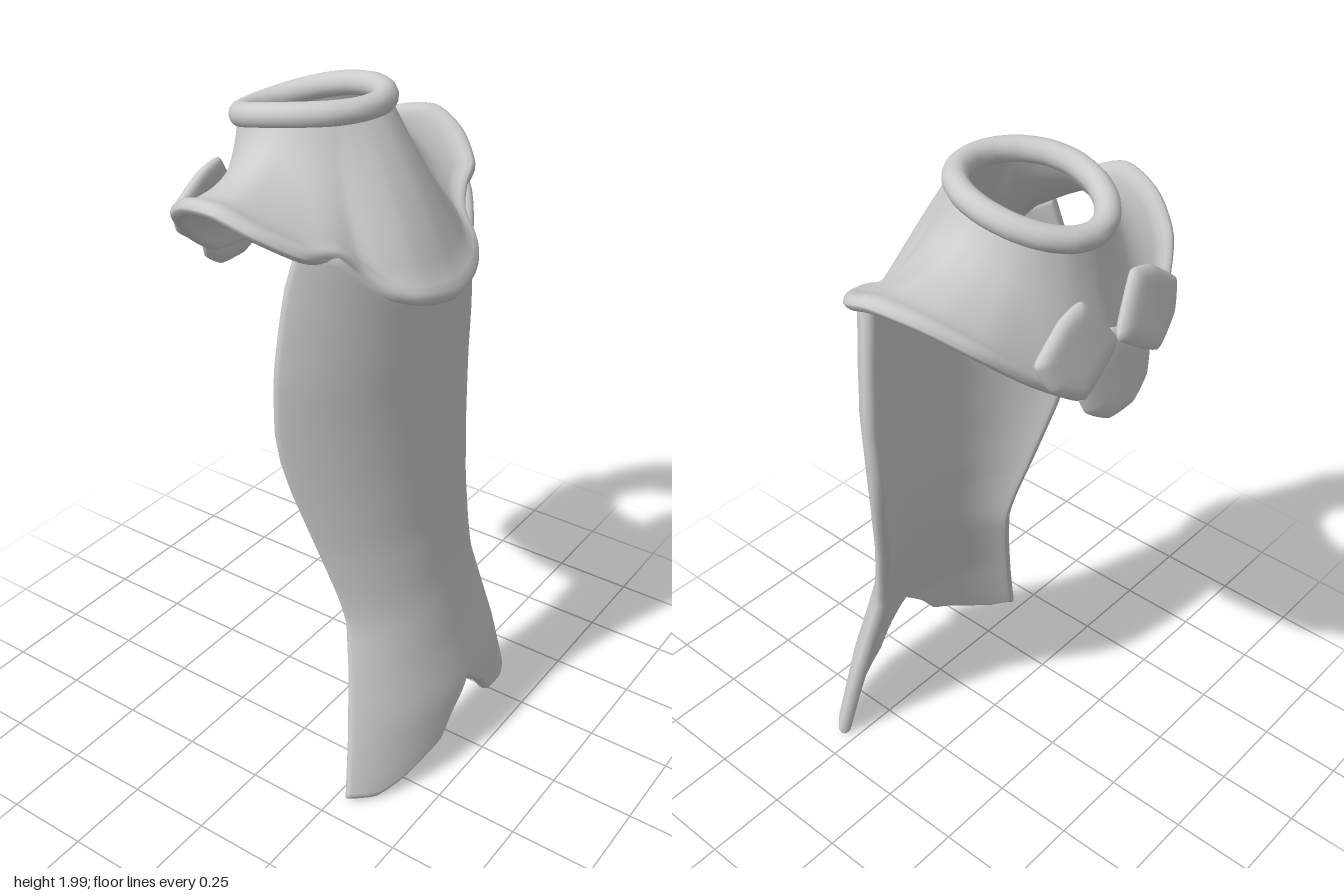
import * as THREE from 'three';
import { mergeVertices } from 'three/addons/utils/BufferGeometryUtils.js';

const V = (x, y, z) => new THREE.Vector3(x, y, z);
const clamp = THREE.MathUtils.clamp;
const lerp = THREE.MathUtils.lerp;

// Piecewise-linear lookup in a list of [key, value], keys ascending
function lookup(table, k) {
  for (let i = 1; i < table.length; i++) {
    const [k0, v0] = table[i - 1], [k1, v1] = table[i];
    if (k <= k1) return lerp(v0, v1, clamp((k - k0) / (k1 - k0), 0, 1));
  }
  return table[table.length - 1][1];
}

// Thick sheet around a surface point(u, v); half(u, v) is half its thickness
function shell(point, us, vs, half, closed) {
  const e = 0.004, pos = [], index = [];
  const wrap = (u) => (closed ? (u + 1) % 1 : clamp(u, 0, 1));
  const normalAt = (u, v) => {
    v = Math.max(v, 0.02);
    const du = point(wrap(u + e), v).sub(point(wrap(u - e), v));
    const dv = point(u, Math.min(v + e, 1)).sub(point(u, v - e));
    return du.cross(dv).normalize();
  };
  for (const side of [1, -1]) {
    const base = pos.length / 3;
    for (const v of vs) for (const t of us) {
      const u = wrap(t);
      pos.push(...point(u, v).addScaledVector(normalAt(u, v), side * half(u, v)).toArray());
    }
    for (let j = 0; j < vs.length - 1; j++) for (let i = 0; i < us.length - 1; i++) {
      const a = base + j * us.length + i, b = a + 1, c = a + us.length, d = c + 1;
      if (side > 0) index.push(a, b, c, b, d, c);
      else index.push(a, c, b, b, c, d);
    }
  }
  let g = new THREE.BufferGeometry();
  g.setAttribute('position', new THREE.Float32BufferAttribute(pos, 3));
  g.setIndex(index);
  g = mergeVertices(g, 1e-5);
  g.computeVertexNormals();
  return g;
}

const steps = (n) => Array.from({ length: n + 1 }, (_, i) => i / n);
// Samples from 0 to 1 that crowd towards both ends, for a rounded rim of width r
function rimSteps(n, r) {
  const end = [0, 0.08 * r, 0.3 * r, 0.6 * r];
  return [...end, ...steps(n).map((t) => lerp(r, 1 - r, t)), ...end.map((t) => 1 - t).reverse()];
}
const round = (t, r) => Math.sqrt(Math.max(0, 1 - (1 - Math.min(t / r, 1)) ** 2));
const roundEnds = (t, r) => round(Math.min(t, 1 - t), r);

// Closed loop from half of its points, front to back, mirrored in x
function mirroredLoop(half) {
  const other = half.slice(1, -1).reverse().map((p) => V(-p.x, p.y, p.z));
  return new THREE.CatmullRomCurve3([...half, ...other], true, 'catmullrom', 0.4);
}

// Front panel: half width, centre depth and side depth by height
const halfWidth = [[0, 0.43], [0.2, 0.378], [0.4, 0.328], [0.55, 0.294], [0.65, 0.306], [0.8, 0.338],
  [1, 0.386], [1.1, 0.406], [1.2, 0.418], [1.35, 0.422], [1.5, 0.407], [1.6, 0.392], [1.72, 0.365]];
const centreZ = [[0.05, 0.436], [0.25, 0.42], [0.4, 0.379], [0.6, 0.334], [0.8, 0.304], [1, 0.289],
  [1.2, 0.281], [1.6, 0.28]];
const sideZ = [[0, 0.285], [0.2, 0.258], [0.4, 0.225], [0.6, 0.183], [0.8, 0.127], [1, 0.077],
  [1.1, 0.058], [1.2, 0.05], [1.4, 0.058], [1.6, 0.075], [1.72, 0.098]];
const topY = [[0, 1.56], [0.5, 1.57], [0.65, 1.62], [0.8, 1.68], [1, 1.72]];
const hemY = [[0, 0.25], [0.23, 0.17], [0.35, 0.1], [0.47, 0.08], [0.7, 0.03], [0.84, 0.006], [1, 0.015]];
function panelPoint(u, v) {
  const arc = 1.13, s = (u * 2 - 1) * arc;
  const q = Math.sin(s) / Math.sin(arc);
  const y = lerp(lookup(hemY, Math.abs(q)), lookup(topY, Math.abs(q)), v);
  const bow = (1 - Math.cos(s)) / (1 - Math.cos(arc));
  return V(q * lookup(halfWidth, y), y, lerp(lookup(centreZ, y), lookup(sideZ, y), bow));
}

// Mantle: hem loop, neck loop and the bend between them
const hemHalf = [[0, 1.497, 0.338], [0.12, 1.515, 0.32], [0.205, 1.55, 0.272], [0.25, 1.615, 0.208],
  [0.305, 1.665, 0.178], [0.402, 1.7, 0.148], [0.482, 1.762, 0.055], [0.507, 1.802, -0.05],
  [0.467, 1.778, -0.18], [0.392, 1.71, -0.29], [0.27, 1.6, -0.36], [0.13, 1.5, -0.395],
  [0, 1.475, -0.405]].map((p) => V(...p));
const hemAngles = hemHalf.map((p) => Math.atan2(p.x, p.z + 0.1));
const neckHalf = hemAngles.map((a) => V(0.178 * Math.sin(a), 1.93 + 0.04 * Math.cos(a), -0.12 + 0.195 * Math.cos(a)));
const bendHalf = hemAngles.map((a, i) => {
  const n = neckHalf[i], h = hemHalf[i];
  const out = 0.18 + 0.37 * Math.max(0, Math.cos(a)) ** 2;
  const down = 0.42 + 0.66 * Math.sin(a) ** 2;
  return V(lerp(n.x, h.x, out), lerp(n.y, h.y, down), lerp(n.z, h.z, out));
});
const [neckLoop, bendLoop, hemLoop] = [neckHalf, bendHalf, hemHalf].map(mirroredLoop);
function mantlePoint(u, v) {
  const w = 1 - v;
  return neckLoop.getPoint(u).multiplyScalar(w * w)
    .addScaledVector(bendLoop.getPoint(u), 2 * w * v)
    .addScaledVector(hemLoop.getPoint(u), v * v);
}
const mantleHalf = [[0, 0.011], [0.86, 0.011], [0.91, 0.018], [0.95, 0.022], [0.975, 0.018], [0.99, 0.011], [1, 0]];

// Back scale: padded plate laid on the back of the mantle
function scaleGeometry(corners, lift, slope) {
  const outline = new THREE.CatmullRomCurve3(corners.map(([x, y]) => V(x, y, 0)), true, 'catmullrom', 0.18);
  const centre = corners.reduce((s, [x, y]) => s.add(V(x, y, 0)), V(0, 0, 0)).divideScalar(corners.length);
  const point = (u, v) => {
    const p = centre.clone().lerp(outline.getPoint(u), v);
    p.z = -0.362 - lift - slope * (1.76 - p.y) + 0.25 * p.x * p.x;
    return p;
  };
  return shell(point, steps(corners.length * 6), [0, 0.25, 0.5, 0.7, 0.82, 0.9, 0.96, 0.99, 1],
    (u, v) => 0.021 * round(1 - v, 0.35), true);
}

export function createModel() {
  const group = new THREE.Group();
  const grey = new THREE.MeshStandardMaterial({ color: 0xcccccc, side: THREE.DoubleSide });
  grey.name = 'plain grey';
  const add = (name, geometry) => {
    const mesh = new THREE.Mesh(geometry, grey);
    mesh.name = name;
    group.add(mesh);
  };

  // Long curved panel with a forked hem
  add('frontPanel', shell(panelPoint, rimSteps(48, 0.02), rimSteps(36, 0.014),
    (u, v) => 0.021 * Math.min(roundEnds(u, 0.02), roundEnds(v, 0.014)), false));

  // Shoulder mantle with a rolled hem
  add('shoulderMantle', shell(mantlePoint, steps(120),
    [0, 0.1, 0.2, 0.3, 0.4, 0.5, 0.6, 0.7, 0.8, 0.86, 0.91, 0.95, 0.975, 0.99, 0.997, 1],
    (u, v) => lookup(mantleHalf, v), true));

  // Padded collar, tilted down towards the back
  const collarHalf = steps(8).map((t) => {
    const a = t * Math.PI, c = Math.cos(a);
    return V(0.174 * Math.sin(a), 1.948 + 0.038 * c - 0.02 * c * c, -0.12 + 0.2 * c);
  });
  add('collar', new THREE.TubeGeometry(mirroredLoop(collarHalf), 64, 0.034, 14, true));

  // Three overlapping scales on the back
  add('lowerScale', scaleGeometry([[0, 1.65], [0.155, 1.575], [0.125, 1.47], [0.05, 1.42],
    [-0.05, 1.42], [-0.125, 1.47], [-0.155, 1.575]], 0, 0.19));
  for (const side of [1, -1]) {
    const corners = [[0, 1.625], [0.1, 1.765], [0.18, 1.748], [0.283, 1.67], [0.25, 1.59], [0.15, 1.53]];
    add(side > 0 ? 'leftScale' : 'rightScale', scaleGeometry(corners.map(([x, y]) => [x * side, y]), 0.008, 0.26));
  }
  return group;
}
